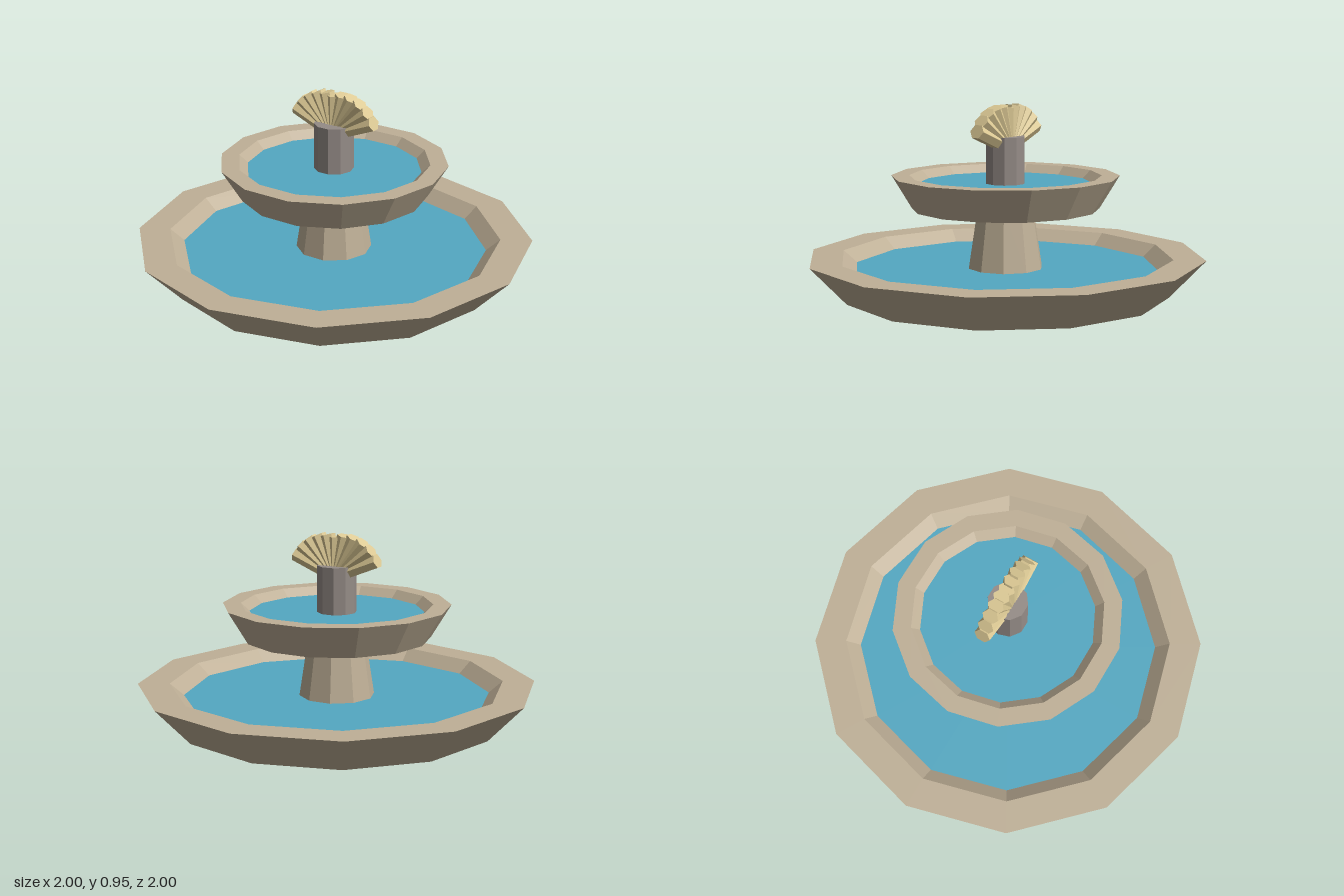
import * as THREE from 'three';

const mat = (name, color) => {
  const m = new THREE.MeshStandardMaterial({ color, flatShading: true });
  m.name = name;
  return m;
};

export function createModel() {
  const stone = mat('tan stone', 0xbfb097);
  const water = mat('water blue', 0x53a8c2);
  const spoutGrey = mat('warm grey', 0x958c87);
  const sand = mat('pale sand', 0xddca95);

  const model = new THREE.Group();
  model.name = 'fountain';
  const add = (name, geometry, material, parent = model) => {
    const mesh = new THREE.Mesh(geometry, material);
    mesh.name = name;
    parent.add(mesh);
    return mesh;
  };

  // Faceted solid of revolution with a corner on the x axis
  const turned = (profile, sides) => new THREE.LatheGeometry(
    profile.map(([r, y]) => new THREE.Vector2(r, y)), sides, Math.PI / 2);

  // Basin with sloping walls, a flat rim and a sheet of water
  const basin = (name, sides, y0, y1, waterY, foot, outer, inner, pool) => {
    const group = new THREE.Group();
    group.name = name;
    model.add(group);
    add(name + 'Stone', turned([[0, y0], [foot, y0], [outer, y1], [inner, y1], [pool, waterY]], sides), stone, group);
    add(name + 'Water', turned([[pool, waterY], [0, waterY]], sides), water, group);
  };
  basin('lowerBasin', 12, 0, 0.19, 0.13, 0.82, 1, 0.84, 0.77);
  basin('upperBasin', 14, 0.43, 0.595, 0.555, 0.47, 0.57, 0.48, 0.437);

  // Tapered column between the basins
  add('column', turned([[0.19, 0.13], [0.143, 0.435]], 10), stone);

  // Spout above the upper basin
  add('spout', turned([[0.099, 0.55], [0.099, 0.79], [0, 0.79]], 10), spoutGrey);

  // Fan of hexagonal ribs, longer towards the sides
  const fan = new THREE.Group();
  fan.name = 'fan';
  fan.position.set(0, 0.738, -0.007);
  model.add(fan);
  const ribs = 11;
  for (let i = 0; i < ribs; i++) {
    const angle = THREE.MathUtils.degToRad(22 + (136 * i) / (ribs - 1));
    const length = 0.195 + 0.054 * Math.abs(Math.cos(angle));
    const geometry = new THREE.CylinderGeometry(0.042, 0.042, length, 6);
    geometry.scale(0.9, 1, 1);
    geometry.translate(0, length / 2, 0);
    add('fanRib' + (i + 1), geometry, sand, fan).rotation.z = angle - Math.PI / 2;
  }

  return model;
}
